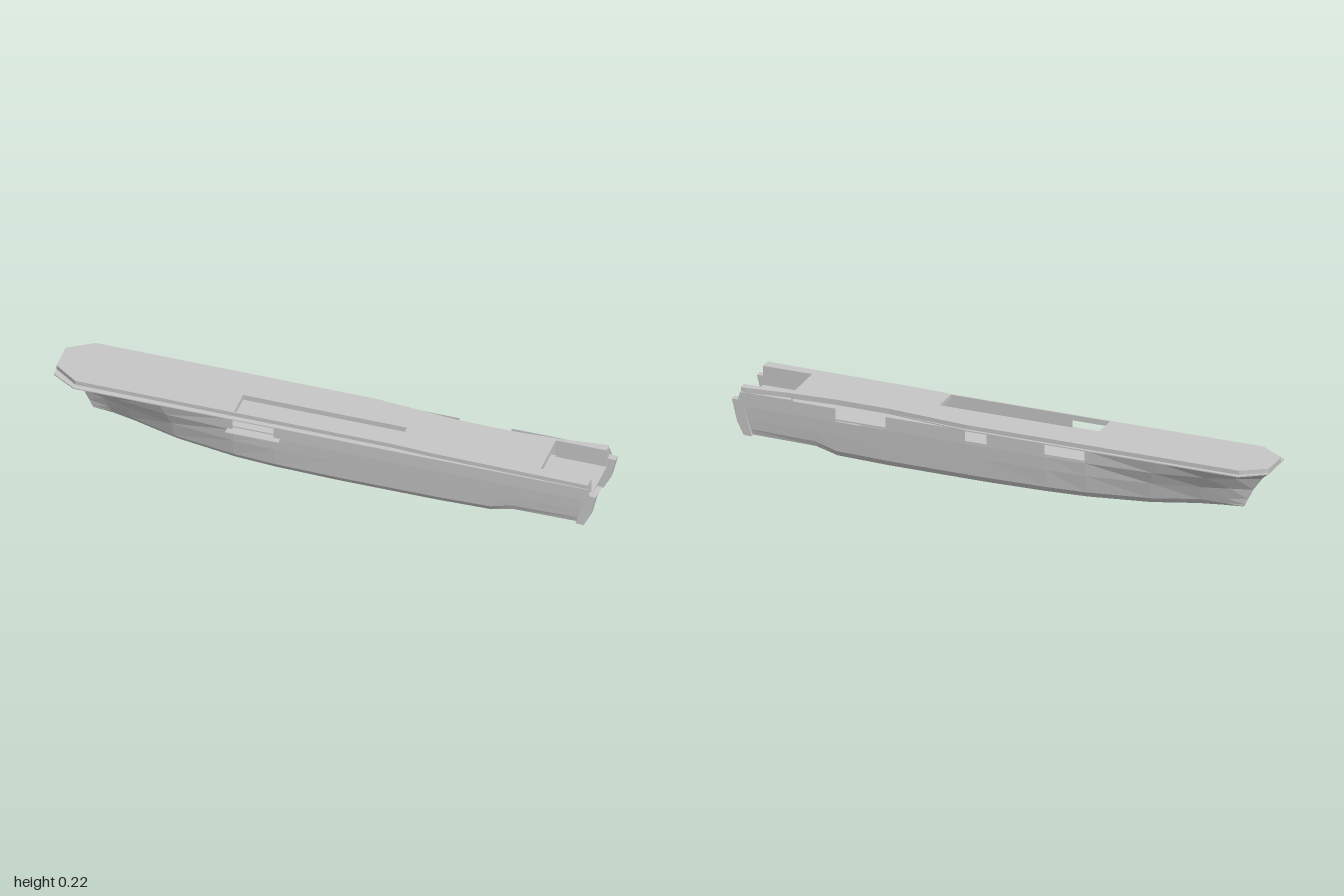
import * as THREE from 'three';

const CENTRE = -0.005; // z of the keel line

export function createModel() {
  const ship = new THREE.Group();
  ship.name = 'shipHull';
  const grey = new THREE.MeshStandardMaterial({ color: 0xc6c6c6, side: THREE.DoubleSide, flatShading: true });
  grey.name = 'hull grey';

  const add = (name, geometry) => {
    const mesh = new THREE.Mesh(geometry, grey);
    mesh.name = name;
    ship.add(mesh);
    return mesh;
  };
  const addFaces = (name, points) => {
    const geometry = new THREE.BufferGeometry();
    geometry.setAttribute('position', new THREE.Float32BufferAttribute(points, 3));
    geometry.computeVertexNormals();
    return add(name, geometry);
  };
  const box = (name, x0, x1, y0, y1, z0, z1) =>
    add(name, new THREE.BoxGeometry(x1 - x0, y1 - y0, z1 - z0))
      .position.set((x0 + x1) / 2, (y0 + y1) / 2, (z0 + z1) / 2);

  // Stations from bow to stern: x, keel height, half breadths from bottom edge to rim
  const stations = [
    [-1, 0.03, 0, 0, 0.002, 0.01, 0.07],
    [-0.91, 0.024, 0.006, 0.012, 0.024, 0.045, 0.125],
    [-0.8, 0.016, 0.022, 0.034, 0.052, 0.08, 0.125],
    [-0.6, 0.007, 0.06, 0.075, 0.09, 0.11, 0.125],
    [-0.33, 0.003, 0.092, 0.106, 0.117, 0.122, 0.125],
    [-0.18, 0.002, 0.102, 0.115, 0.122, 0.125, 0.125],
    [0.04, 0, 0.105, 0.117, 0.122, 0.125, 0.125],
    [0.12, 0, 0.105, 0.117, 0.122, 0.125, 0.125],
    [0.42, 0.001, 0.105, 0.117, 0.122, 0.125, 0.125],
    [0.61, 0.006, 0.105, 0.117, 0.122, 0.125, 0.125],
    [0.7, 0.03, 0.11, 0.118, 0.122, 0.125, 0.125],
    [1, 0.036, 0.114, 0.119, 0.122, 0.125, 0.125],
  ];
  const stemX = [-0.88, -0.885, -0.895, -0.915, -0.95, -1];
  const sternX = [0.95, 0.95, 0.958, 0.975, 0.985, 0.97];

  const hullPoint = (s, row, side) => {
    const [x, keel, ...breadth] = stations[s];
    const y = [keel, keel + 0.009, keel + 0.03, 0.1, 0.15, 0.2][row];
    const half = row === 0 ? 0 : breadth[row - 1];
    let px = x;
    if (x < -0.33) px = -0.33 + (x + 0.33) * (stemX[row] + 0.33) / -0.67;
    if (x > 0.61) px = 0.61 + (x - 0.61) * (sternX[row] - 0.61) / 0.39;
    return [px, y, CENTRE + side * half];
  };

  // Shell sides, with the hangar openings left out of the top strake
  const openings = { 1: [-0.33], '-1': [-0.33, 0.04, 0.42] };
  for (const side of [1, -1]) {
    const points = [];
    for (let s = 0; s < stations.length - 1; s++) {
      for (let row = 0; row < 5; row++) {
        if (row === 4 && openings[side].includes(stations[s][0])) continue;
        const a = hullPoint(s, row, side), b = hullPoint(s + 1, row, side);
        const c = hullPoint(s + 1, row + 1, side), d = hullPoint(s, row + 1, side);
        const corners = side > 0 ? [a, b, c, a, c, d] : [a, c, b, a, d, c];
        points.push(...corners.flat());
      }
    }
    addFaces(side > 0 ? 'leftHullSide' : 'rightHullSide', points);
  }

  // Narrow stem widening to the flat bow face under the deck
  const stem = [];
  for (let row = 2; row < 5; row++) {
    const a = hullPoint(0, row, -1), b = hullPoint(0, row, 1);
    const c = hullPoint(0, row + 1, 1), d = hullPoint(0, row + 1, -1);
    stem.push(...[a, b, c, a, c, d].flat());
  }
  addFaces('bowFace', stem);

  // Horizontal slab from an outline in x and z
  const slab = (name, outline, top, thickness) => {
    const shape = new THREE.Shape(outline.map(([x, z]) => new THREE.Vector2(x, z)));
    const hole = [[-0.33, 0], [-0.33, 0.1], [0.27, 0.1], [0.27, 0]];
    shape.holes.push(new THREE.Path(hole.map(([x, z]) => new THREE.Vector2(x, z))));
    const geometry = new THREE.ExtrudeGeometry(shape, { depth: thickness, bevelEnabled: false });
    geometry.rotateX(Math.PI / 2);
    geometry.translate(0, top, 0);
    add(name, geometry);
  };
  // Stern well and the scooped right edge, shared by both slabs
  const aft = [[0.97, 0.078], [0.785, 0.078], [0.785, -0.092], [0.97, -0.092]];
  const scoop = [[0.95, -0.122], [0.8, -0.105], [0.62, -0.095], [0.42, -0.097]];
  slab('flightDeck', [
    [-1, 0.04], [-0.91, 0.105], [0.25, 0.105], [0.4, 0.112], [0.97, 0.119],
    ...aft, [0.97, -0.122], ...scoop, [0.12, -0.123], [-0.91, -0.123], [-1, -0.065],
  ], 0.218, 0.018);
  slab('deckEdgeLedge', [
    [-1, 0.07], [-0.91, 0.125], [0.97, 0.122],
    ...aft, [0.97, -0.13], ...scoop, [0.12, -0.132], [-0.91, -0.137], [-1, -0.075],
  ], 0.202, 0.004);

  // Hangar floor and side walls of the stern well
  box('hangarFloor', -0.6, 0.97, 0.141, 0.146, -0.1, 0.09);
  box('leftWellWall', 0.785, 0.97, 0.146, 0.2, 0.078, 0.115);
  box('rightWellWall', 0.785, 0.97, 0.146, 0.2, -0.122, -0.092);

  // Raked posts framing the open transom
  for (const [name, z] of [['leftSternPost', 0.094], ['rightSternPost', -0.131]]) {
    const profile = new THREE.Shape([[0.925, 0.042], [0.955, 0.042], [0.98, 0.09], [1, 0.173], [0.96, 0.173]]
      .map(([x, y]) => new THREE.Vector2(x, y)));
    add(name, new THREE.ExtrudeGeometry(profile, { depth: 0.026, bevelEnabled: false })).position.z = z;
  }

  // Boarding platform below the left opening
  box('sidePlatform', -0.35, -0.155, 0.149, 0.154, 0.11, 0.141);
  return ship;
}
